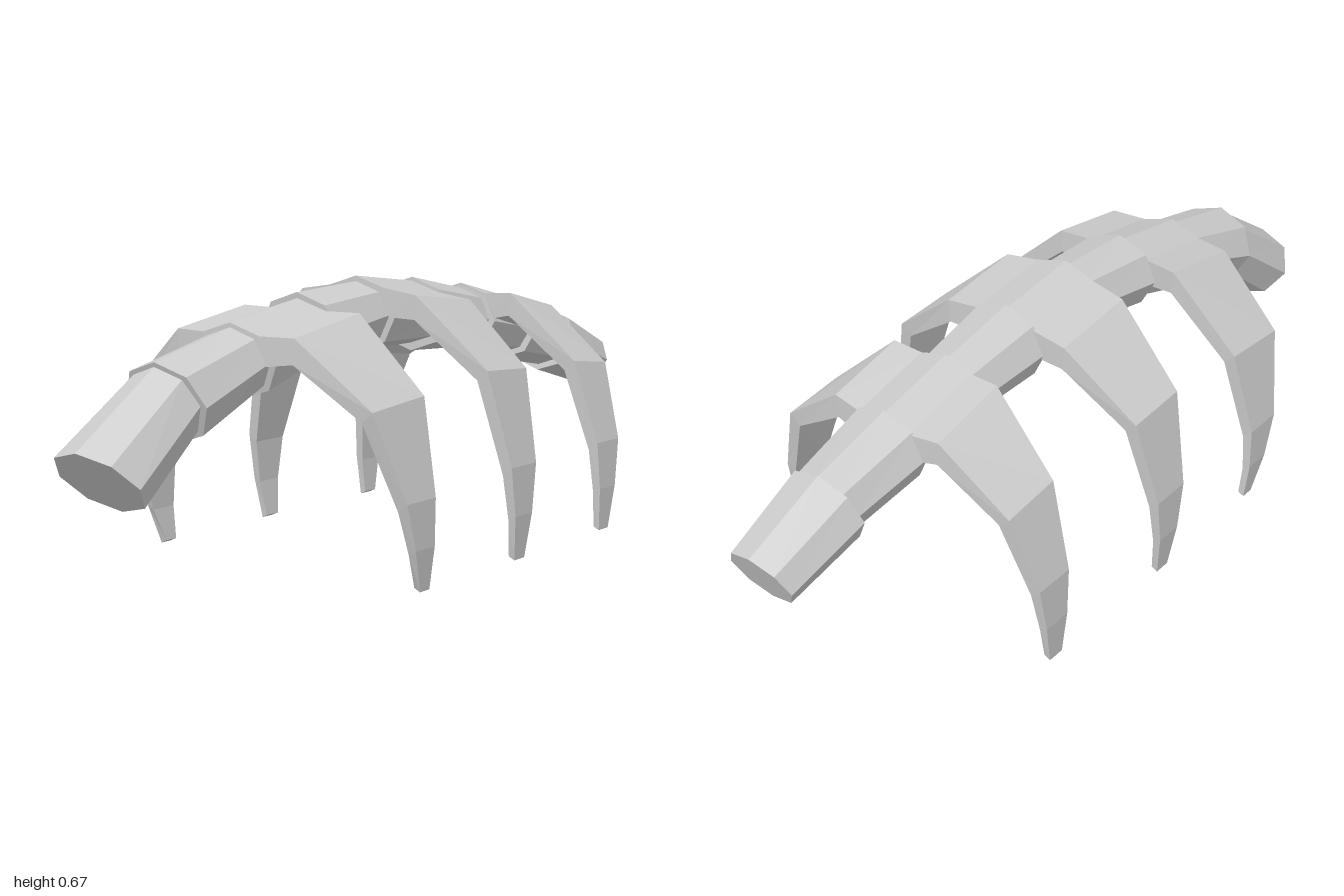
import * as THREE from 'three';

const material = new THREE.MeshStandardMaterial({ color: 0xcccccc, flatShading: true });

// Skin a closed, capped body over rings that run counter-clockwise seen from the start
function loft(rings, name) {
  const n = rings[0].length, pos = [];
  const tri = (...pts) => pts.forEach(p => pos.push(...p));
  for (let i = 0; i < rings.length - 1; i++) {
    for (let j = 0; j < n; j++) {
      const k = (j + 1) % n;
      const a = rings[i][j], b = rings[i][k], c = rings[i + 1][k], d = rings[i + 1][j];
      tri(a, d, c);
      tri(a, c, b);
    }
  }
  const first = rings[0], last = rings[rings.length - 1];
  for (let j = 1; j < n - 1; j++) {
    tri(first[0], first[j], first[j + 1]);
    tri(last[0], last[j + 1], last[j]);
  }
  const geometry = new THREE.BufferGeometry();
  geometry.setAttribute('position', new THREE.Float32BufferAttribute(pos, 3));
  geometry.computeVertexNormals();
  const mesh = new THREE.Mesh(geometry, material);
  mesh.name = name;
  return mesh;
}

// Tilted octagon between a top and a bottom point in the side plane
function octagon([zTop, yTop, zBottom, yBottom], halfWidth) {
  return Array.from({ length: 8 }, (_, i) => {
    const a = Math.PI / 2 + i * Math.PI / 4, s = Math.sin(a) / 2;
    return [
      halfWidth * Math.cos(a),
      (yTop + yBottom) / 2 + s * (yTop - yBottom),
      (zTop + zBottom) / 2 + s * (zTop - zBottom),
    ];
  });
}

// Front and back end of every vertebra: top z, top y, bottom z, bottom y
const vertebrae = [
  [[1.00, 0.36, 0.87, 0.217], [0.77, 0.515, 0.70, 0.355]],
  [[0.77, 0.525, 0.70, 0.34], [0.53, 0.58, 0.49, 0.43]],
  [[0.53, 0.587, 0.49, 0.415], [0.30, 0.625, 0.29, 0.475]],
  [[0.30, 0.643, 0.28, 0.46], [0.075, 0.655, 0.065, 0.50]],
  [[0.075, 0.664, 0.07, 0.485], [-0.15, 0.637, -0.145, 0.485]],
  [[-0.15, 0.652, -0.145, 0.465], [-0.365, 0.61, -0.355, 0.455]],
  [[-0.365, 0.619, -0.35, 0.44], [-0.575, 0.569, -0.545, 0.42]],
  [[-0.575, 0.582, -0.55, 0.405], [-0.79, 0.525, -0.75, 0.37]],
  [[-0.785, 0.527, -0.745, 0.355], [-1.00, 0.435, -0.945, 0.30]],
];

// Shared rib profile from spine ridge to tip: outer x, outer y, inner x, inner y, share of slope
const ribProfile = [
  [0, 0.655, 0, 0.56, 1],
  [0.085, 0.629, 0.085, 0.56, 1],
  [0.175, 0.616, 0.17, 0.557, 1],
  [0.362, 0.455, 0.333, 0.43, 0.5],
  [0.413, 0.23, 0.388, 0.21, 0],
  [0.413, 0.11, 0.393, 0.1, 0],
  [0.4, 0, 0.384, 0.008, 0],
];

// Per pair: slope near the spine, then inset, lift, front z and back z along the rib
const ribPairs = [
  { name: 'frontRib', slope: -0.165,
    inset: [0, 0, 0, 0, 0, 0, 0],
    lift: [-0.045, -0.045, -0.032, -0.033, -0.02, -0.01, 0],
    front: [0.53, 0.527, 0.515, 0.478, 0.42, 0.388, 0.355],
    back: [0.295, 0.295, 0.285, 0.29, 0.315, 0.318, 0.32] },
  { name: 'middleRib', slope: 0.115,
    inset: [0, 0, 0, 0, 0, 0, 0],
    lift: [0, 0, 0, 0, 0, 0, 0],
    front: [0.078, 0.076, 0.07, 0.04, 0.01, -0.008, -0.025],
    back: [-0.155, -0.155, -0.155, -0.125, -0.095, -0.08, -0.068] },
  { name: 'rearRib', slope: 0.23,
    inset: [0, 0.01, 0.022, 0.03, 0.02, 0.016, 0.01],
    lift: [-0.056, -0.054, -0.035, -0.025, 0, 0, 0],
    front: [-0.365, -0.365, -0.37, -0.395, -0.415, -0.425, -0.435],
    back: [-0.577, -0.577, -0.57, -0.55, -0.52, -0.50, -0.48] },
];

function rib({ name, slope, inset, lift, front, back }, side) {
  const rings = ribProfile.map(([xo, yo, xi, yi, share], i) => {
    const f = front[i], b = back[i], mid = (f + b) / 2;
    const corner = (x, y, z) =>
      [side * (x - inset[i]), y + lift[i] + share * slope * (z - mid), z];
    const ring = [corner(xo, yo, f), corner(xo, yo, b), corner(xi, yi, b), corner(xi, yi, f)];
    return side > 0 ? ring : ring.reverse();
  });
  return loft(rings, name + (side > 0 ? 'Left' : 'Right'));
}

export function createModel() {
  const model = new THREE.Group();
  model.name = 'ribcage';

  // Spine of overlapping, tapering segments
  const spine = new THREE.Group();
  spine.name = 'spine';
  vertebrae.forEach(([front, back], i) => {
    const wide = 0.121 - i * 0.0013;
    spine.add(loft([octagon(front, wide), octagon(back, wide - 0.019)], 'vertebra' + (i + 1)));
  });
  model.add(spine);

  // Three mirrored pairs of curved ribs that meet along the ridge of the spine
  const ribs = new THREE.Group();
  ribs.name = 'ribs';
  for (const pair of ribPairs) for (const side of [1, -1]) ribs.add(rib(pair, side));
  model.add(ribs);

  return model;
}
